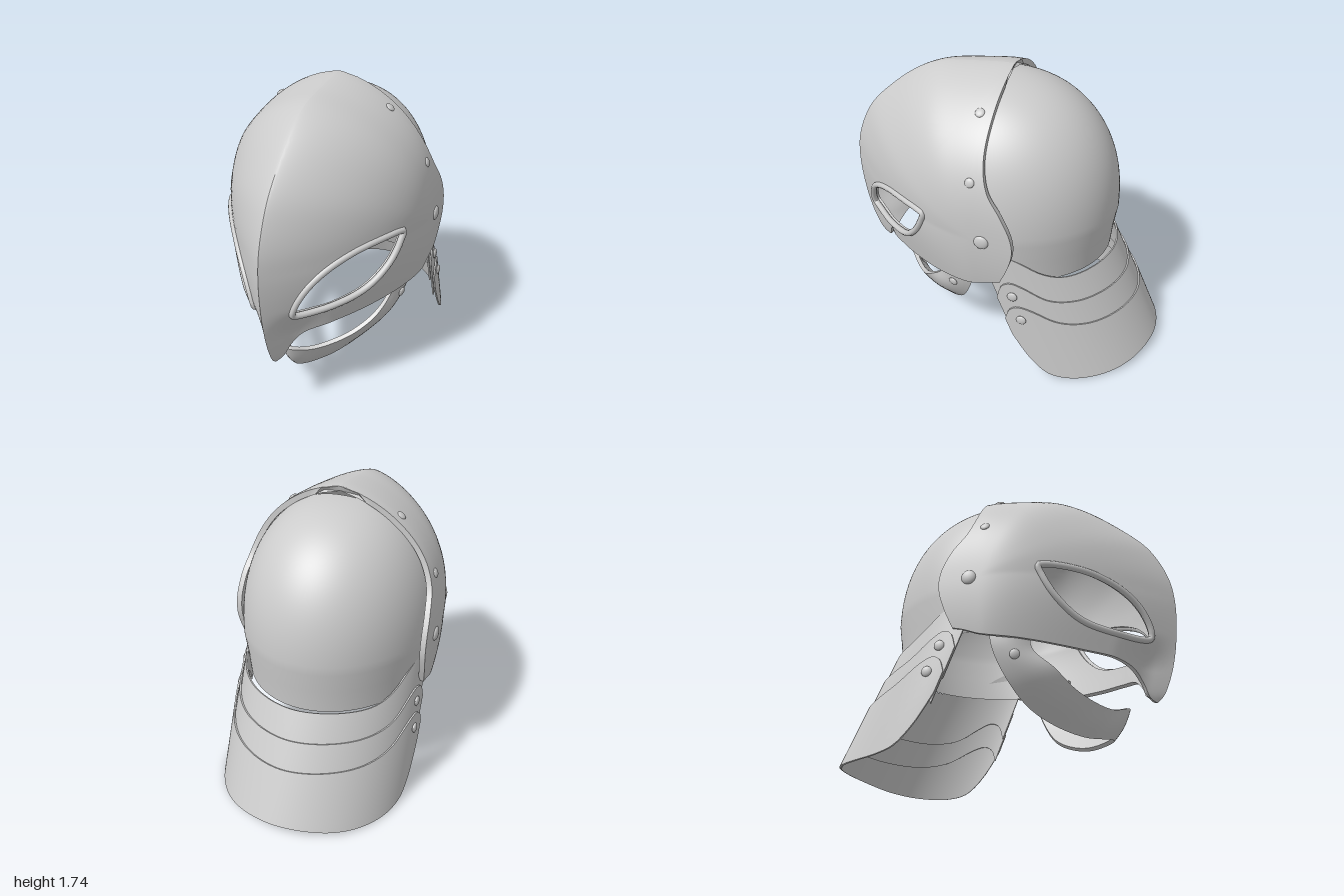
import * as THREE from 'three';
import { toCreasedNormals } from 'three/addons/utils/BufferGeometryUtils.js';

const metal = new THREE.MeshStandardMaterial({ color: 0xcccccc, side: THREE.DoubleSide });
const V = (x, y, z) => new THREE.Vector3(x, y, z);
const { clamp, smoothstep } = THREE.MathUtils;

// Side-plane curve from [z, y] pairs
const sideCurve = (pts, closed = false) =>
  new THREE.CatmullRomCurve3(pts.map(([z, y]) => V(0, y, z)), closed, 'centripetal');

// Linear lookup in a list of [key, value] with rising keys
function lookup(table, k) {
  let i = 1;
  while (i < table.length - 1 && table[i][0] < k) i++;
  const [a, va] = table[i - 1], [b, vb] = table[i];
  return va + (vb - va) * clamp((k - a) / (b - a || 1), 0, 1);
}

// Plate with thickness from a grid of points, rows[i][j]; outward = i direction x j direction
function shell(rows, thick, closed = false, halfOnly = false) {
  const n = rows.length, m = rows[0].length, count = n * m, index = [];
  const outer = rows.flat(), last = closed ? n : n - 1;
  const quad = (a, b, c, d) => index.push(a, b, c, a, c, d);
  const at = (i, j) => (i % n) * m + j;
  for (let i = 0; i < last; i++)
    for (let j = 0; j < m - 1; j++) quad(at(i, j), at(i + 1, j), at(i + 1, j + 1), at(i, j + 1));
  const geo = new THREE.BufferGeometry().setFromPoints(outer);
  geo.setIndex(index.slice());
  geo.computeVertexNormals();
  const nor = geo.attributes.normal;
  const inner = outer.map((p, i) => {
    const q = V().fromBufferAttribute(nor, i).multiplyScalar(-thick).add(p);
    if (halfOnly) q.x = Math.max(0, q.x);
    return q;
  });
  for (let k = 0, len = index.length; k < len; k += 3)
    index.push(index[k] + count, index[k + 2] + count, index[k + 1] + count);
  // close the borders
  for (let i = 0; i < last; i++) {
    quad(at(i + 1, 0), at(i, 0), at(i, 0) + count, at(i + 1, 0) + count);
    quad(at(i, m - 1), at(i + 1, m - 1), at(i + 1, m - 1) + count, at(i, m - 1) + count);
  }
  if (!closed) for (let j = 0; j < m - 1; j++) {
    quad(at(0, j), at(0, j + 1), at(0, j + 1) + count, at(0, j) + count);
    quad(at(n - 1, j + 1), at(n - 1, j), at(n - 1, j) + count, at(n - 1, j + 1) + count);
  }
  const full = new THREE.BufferGeometry().setFromPoints([...outer, ...inner]);
  full.setIndex(index);
  return toCreasedNormals(full, 0.7);
}

function add(parent, name, geo) {
  const mesh = new THREE.Mesh(geo, metal);
  mesh.name = name;
  parent.add(mesh);
  return mesh;
}

// Visor outline: ridge from beak to crest, rear edge, lower edge
const ridge = sideCurve([[0.85, 0.33], [0.89, 0.37], [0.935, 0.47], [0.97, 0.6], [0.99, 0.73], [1, 0.85], [1, 0.95],
  [0.985, 1.07], [0.94, 1.2], [0.86, 1.34], [0.7, 1.5], [0.54, 1.62], [0.4, 1.685], [0.2, 1.715], [0, 1.735], [-0.05, 1.735]]).getSpacedPoints(100);
const rear = sideCurve([[-0.05, 1.735], [-0.045, 1.6], [-0.05, 1.4], [-0.09, 1.25], [-0.17, 1.13],
  [-0.23, 1.0], [-0.24, 0.9], [-0.21, 0.78], [-0.16, 0.66]]).getSpacedPoints(50);
const lower = sideCurve([[-0.16, 0.66], [-0.1, 0.645], [0, 0.61], [0.2, 0.585], [0.5, 0.55], [0.68, 0.53],
  [0.75, 0.5], [0.79, 0.43], [0.82, 0.35], [0.85, 0.33]]).getSpacedPoints(50);
const eye = sideCurve([[0.85, 0.668], [0.62, 0.672], [0.5, 0.715], [0.4, 0.815], [0.335, 0.93], [0.312, 1.0],
  [0.335, 1.01], [0.45, 1.01], [0.6, 0.985], [0.74, 0.915], [0.82, 0.825], [0.86, 0.71]], true).getSpacedPoints(160);

const MID = 0.95;
const noseDepth = ridge.filter(p => p.y <= MID + 0.03).map(p => [p.y, p.z]);
const browRadius = ridge.filter(p => p.y >= MID - 0.03).map(p => [Math.atan2(p.y - MID, p.z), Math.hypot(p.z, p.y - MID)]);

// Half width of the visor at a side-plane position
function halfWidth(z, y) {
  const front = Math.max(0, z);
  if (y < MID) {
    const q = front / lookup(noseDepth, y), down = (MID - y) / 0.35;
    const p = 1.8 - 0.25 * smoothstep(MID - y, 0, 0.45);
    const pinch = 1 - 0.42 * smoothstep(0.72 - y, 0, 0.22) * smoothstep(q, 0.68, 0.9);
    return (0.605 - 0.035 * down * down) * Math.max(0, 1 - Math.pow(q, p)) * pinch;
  }
  const angle = Math.atan2(y - MID, front), s = Math.abs(Math.sin(angle)) ** 1.4;
  const q = Math.hypot(front, y - MID) / lookup(browRadius, angle);
  return 0.605 * Math.pow(Math.max(0, 1 - Math.pow(q, 1.8 + 0.8 * s)), 1 - 0.35 * s);
}
const onVisor = (z, y) => V(halfWidth(z, y), y, z);

// Half visor: rays from the eye opening out to the outline
function visorGeometry() {
  const c = V(0, 0.8, 0.72), polar = p => Math.atan2(p.y - c.y, p.z - c.z);
  const eyeRadius = eye.slice(1).map(p => [polar(p), p.distanceTo(c)]).sort((a, b) => a[0] - b[0]);
  const [f, l] = [eyeRadius[0], eyeRadius.at(-1)];
  eyeRadius.unshift([l[0] - 2 * Math.PI, l[1]]);
  eyeRadius.push([f[0] + 2 * Math.PI, f[1]]);
  const outline = [...ridge.slice(0, -1), ...rear.slice(0, -1), ...lower.slice(0, -1)];
  const rows = outline.map(p => {
    const start = p.clone().sub(c).setLength(lookup(eyeRadius, polar(p))).add(c);
    return Array.from({ length: 31 }, (_, j) => {
      const q = start.clone().lerp(p, 1 - (1 - j / 30) ** 2);
      return onVisor(q.z, q.y);
    });
  });
  return shell(rows, 0.033, true, true);
}

// Domed rivet facing along a direction
function rivet(parent, pos, r, dir = V(1, 0, 0)) {
  const mesh = add(parent, 'rivet', new THREE.SphereGeometry(r, 20, 12));
  mesh.scale.z = 0.4;
  mesh.position.copy(pos);
  mesh.quaternion.setFromUnitVectors(V(0, 0, 1), dir.normalize());
}

// Neck plate between two edges, each given as [s, y] with s = 0 at the side and 1 at the back
function lameGeometry(width, top, bottom) {
  const edge = pts => new THREE.CatmullRomCurve3(pts.map(([s, y]) => V(s, y, 0)), false, 'centripetal')
    .getPoints(80).map(p => [p.x, p.y]);
  const t = edge(top), b = edge(bottom), rows = [];
  for (let i = 0; i <= 96; i++) {
    const a = (i / 96 - 0.5) * Math.PI, e = 2 / 1.88;
    const s = Math.max(0, Math.cos(a)) ** e, x = width * Math.sign(a) * Math.abs(Math.sin(a)) ** e;
    const y0 = lookup(t, s), y1 = lookup(b, s);
    rows.push(Array.from({ length: 9 }, (_, j) => {
      const y = y0 + (y1 - y0) * j / 8;
      const z0 = -0.1 - (0.66 - y) * 0.4, back = -0.7 - (width - 0.565) * 0.8 - (0.655 - y) * 0.47;
      return V(x, y, z0 + (back - z0) * s);
    }));
  }
  return shell(rows, 0.01);
}

// Chin guard between an upper and a lower edge, mirrored across the middle
function chinGeometry() {
  const edge = pts => new THREE.CatmullRomCurve3([...pts, ...pts.slice(0, -1).reverse().map(([x, y, z]) => [-x, y, z])]
    .map(p => V(...p)), false, 'centripetal');
  const up = edge([[0.48, 0.7, 0.27], [0.46, 0.55, 0.25], [0.41, 0.44, 0.36], [0.31, 0.345, 0.45], [0.2, 0.295, 0.54], [0.1, 0.28, 0.62], [0, 0.31, 0.7]]);
  const low = edge([[0.51, 0.7, 0.02], [0.5, 0.55, 0.04], [0.44, 0.38, 0.11], [0.34, 0.25, 0.2], [0.24, 0.17, 0.32], [0.13, 0.127, 0.46], [0, 0.135, 0.6]]);
  const rows = [];
  for (let i = 0; i <= 80; i++) {
    const a = up.getPoint(i / 80), b = low.getPoint(i / 80);
    rows.push(Array.from({ length: 9 }, (_, j) => {
      const bulge = 0.02 * Math.sin(Math.PI * j / 8), p = a.clone().lerp(b, j / 8);
      return p.add(V(p.x * 2, -0.4, 0.5).multiplyScalar(bulge));
    }));
  }
  return shell(rows, 0.025);
}

export function createModel() {
  const model = new THREE.Group();
  model.name = 'helmet';

  // Skull: rear half of a slightly squared dome with a straight skirt
  const profile = [new THREE.Vector2(0.548, 0.64), new THREE.Vector2(0.558, 0.78)];
  for (let i = 0; i <= 32; i++) {
    const a = i / 32 * Math.PI / 2, e = 2 / 2.25;
    profile.push(new THREE.Vector2(0.572 * Math.max(0, Math.cos(a)) ** e, 0.9 + 0.765 * Math.sin(a) ** e));
  }
  const skull = new THREE.LatheGeometry(profile, 64, Math.PI / 2, Math.PI);
  skull.scale(1, 1, 0.685 / 0.572);
  add(model, 'skull', skull);

  // Neck plates, each lower one outside the one above and overlapped by it
  const tops = [
    [[0, 0.68], [0.1, 0.79], [0.2, 0.83], [0.33, 0.79], [0.5, 0.7], [0.65, 0.66], [1, 0.655]],
    [[0, 0.55], [0.1, 0.635], [0.2, 0.655], [0.3, 0.62], [0.45, 0.54], [0.65, 0.505], [1, 0.5]],
    [[0, 0.41], [0.08, 0.48], [0.17, 0.505], [0.28, 0.48], [0.45, 0.4], [0.65, 0.36], [1, 0.35]],
    [[0, 0.3], [0.06, 0.15], [0.16, 0.04], [0.3, 0.005], [0.55, 0], [0.8, 0.02], [1, 0.055]]];
  ['upper', 'middle', 'lower'].forEach((label, k) => {
    const bottom = k < 2 ? tops[k + 1].map(([s, y]) => [s, y - 0.17]) : tops[3];
    add(model, label + 'NeckPlate', lameGeometry(0.564 + 0.014 * k, tops[k], bottom));
  });

  add(model, 'chinGuard', chinGeometry());

  // Visor halves with eye rims and rivets
  const visor = visorGeometry();
  const rimPath = new THREE.CatmullRomCurve3(eye.slice(1).filter((_, i) => i % 2 === 0).map(p => onVisor(p.z, p.y)), true);
  const rim = new THREE.TubeGeometry(rimPath, 140, 0.019, 10, true);
  for (const side of [1, -1]) {
    const half = new THREE.Group();
    half.name = side > 0 ? 'leftSide' : 'rightSide';
    half.scale.x = side;
    model.add(half);
    add(half, 'visor', visor);
    add(half, 'eyeRim', rim);
    for (const [z, y, r] of [[0.03, 1.59, 0.027], [0.01, 1.29, 0.027], [-0.065, 0.945, 0.042]]) {
      const e = 0.01, slope = (halfWidth(z, y + e) - halfWidth(z, y - e)) / (2 * e);
      rivet(half, onVisor(z, y), r, V(1, -slope, 0));
    }
    rivet(half, V(0.493, 0.505, 0.165), 0.028, V(1, -0.2, 0.2));
    rivet(half, V(0.572, 0.57, -0.235), 0.03);
    rivet(half, V(0.586, 0.42, -0.295), 0.03);
  }
  return model;
}
